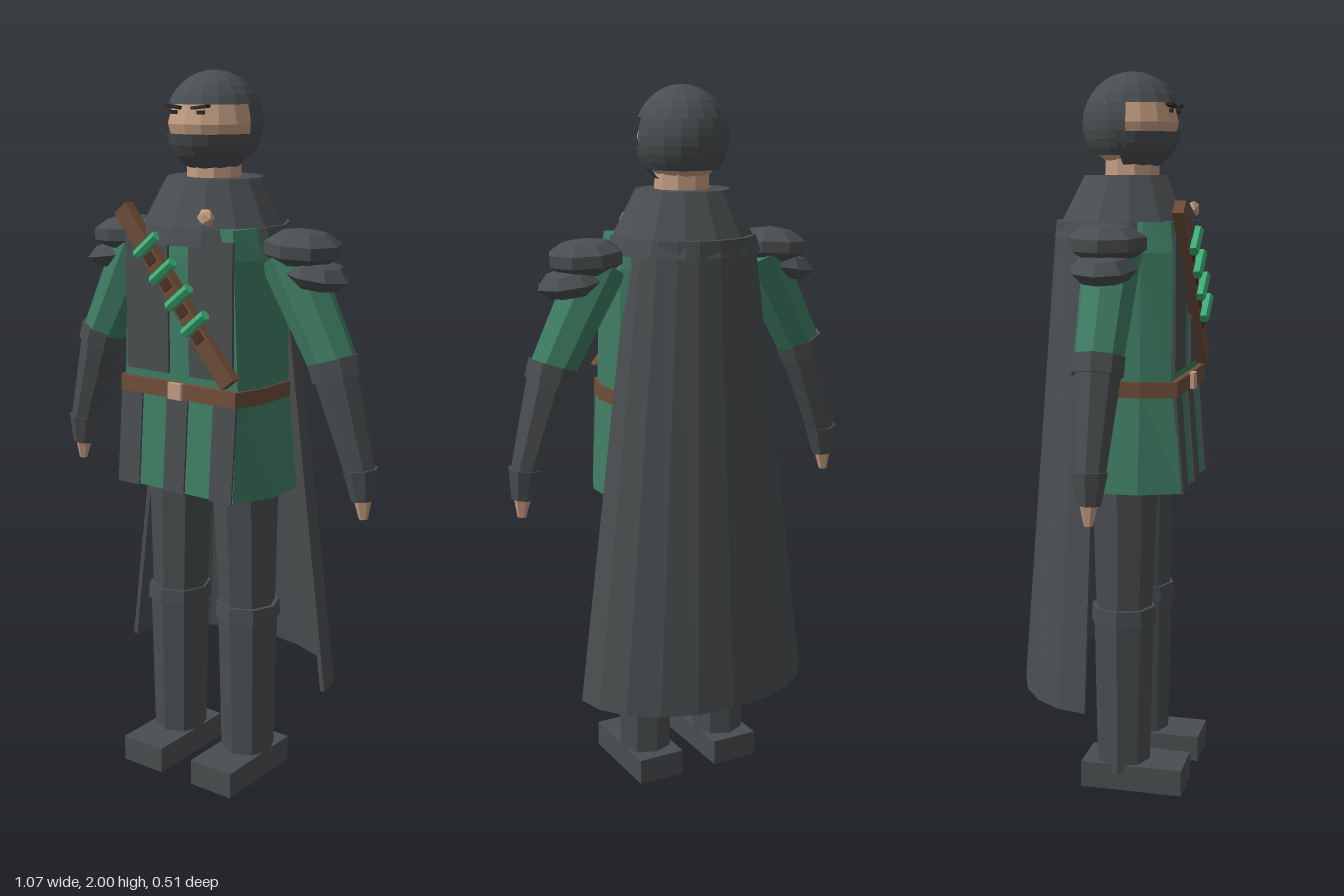
import * as THREE from 'three';

const mat = (name, color) => {
  const m = new THREE.MeshStandardMaterial({ color, flatShading: true, side: THREE.DoubleSide });
  m.name = name;
  return m;
};

export function createModel() {
  const root = new THREE.Group();
  root.name = 'cloakedRanger';
  const dark = mat('darkCloth', 0x4a4e50), green = mat('greenCloth', 0x3f7d64),
    brown = mat('leather', 0x6f4d38), loop = mat('darkLeather', 0x4a3328),
    skin = mat('skin', 0xc39c82), vial = mat('vialGreen', 0x3fb078),
    brow = mat('brow', 0x2b2a2a);
  const CZ = 0.053; // body axis

  const add = (name, geo, m, x = 0, y = 0, z = 0, parent = root) => {
    const mesh = new THREE.Mesh(geo, m);
    mesh.name = name;
    mesh.position.set(x, y, z);
    parent.add(mesh);
    return mesh;
  };
  const box = (name, m, w, h, d, x, y, z, parent) => add(name, new THREE.BoxGeometry(w, h, d), m, x, y, z, parent);

  // Tapered prism between two points
  const limb = (name, m, a, b, ra, rb, sides = 8) => {
    const p = new THREE.Vector3(...a), q = new THREE.Vector3(...b);
    const mesh = add(name, new THREE.CylinderGeometry(ra, rb, p.distanceTo(q), sides), m);
    mesh.position.copy(p).add(q).multiplyScalar(0.5);
    mesh.quaternion.setFromUnitVectors(new THREE.Vector3(0, 1, 0), p.clone().sub(q).normalize());
    return mesh;
  };

  // Solid lofted through rings of equal point count, listed top to bottom
  const loft = (rings) => {
    const pos = [], n = rings[0].length;
    const tri = (...p) => p.forEach((v) => pos.push(...v));
    for (let r = 0; r < rings.length - 1; r++) {
      for (let i = 0; i < n; i++) {
        const j = (i + 1) % n, a = rings[r], b = rings[r + 1];
        tri(a[i], b[i], b[j]);
        tri(a[i], b[j], a[j]);
      }
    }
    const top = rings[0], bot = rings[rings.length - 1];
    for (let i = 1; i < n - 1; i++) {
      tri(top[0], top[i], top[i + 1]);
      tri(bot[0], bot[i + 1], bot[i]);
    }
    const g = new THREE.BufferGeometry();
    g.setAttribute('position', new THREE.Float32BufferAttribute(pos, 3));
    g.computeVertexNormals();
    return g;
  };
  // Eight-sided body outline: flat front, wide flanks, narrower back
  const ring = (y, front, side, zf, zb) => [
    [-front, y, zf], [front, y, zf], [side, y, 0.12], [side, y, 0],
    [front * 0.7, y, zb], [-front * 0.7, y, zb], [-side, y, 0], [-side, y, 0.12]];

  // Legs, knee bands and boots
  for (const s of [1, -1]) {
    limb('thigh', dark, [s * 0.113, 0.95, CZ], [s * 0.122, 0.5, CZ], 0.096, 0.08);
    limb('shin', dark, [s * 0.124, 0.5, CZ], [s * 0.125, 0.05, CZ], 0.086, 0.077);
    limb('kneeBand', dark, [s * 0.124, 0.53, CZ], [s * 0.124, 0.485, CZ], 0.091, 0.094);
    box('boot', dark, 0.14, 0.075, 0.29, s * 0.125, 0.0375, 0.09);
  }

  // Tunic, skirt and their dark front panels
  add('tunic', loft([ring(1.6, 0.17, 0.19, 0.19, -0.07), ring(1.52, 0.18, 0.215, 0.2, -0.08),
    ring(1.15, 0.195, 0.22, 0.2, -0.08)]), green);
  add('skirt', loft([ring(1.16, 0.195, 0.22, 0.207, -0.08), ring(0.875, 0.2, 0.25, 0.23, -0.1)]), green);
  for (const s of [1, -1]) {
    box('tunicPanel', dark, 0.145, 0.37, 0.009, s * 0.108, 1.385, 0.203);
    box('skirtSidePanel', dark, 0.075, 0.265, 0.009, s * 0.16, 1.005, 0.221).rotation.x = -0.081;
  }
  box('skirtCentrePanel', dark, 0.072, 0.265, 0.009, 0, 1.005, 0.221).rotation.x = -0.081;

  // Belt and buckle
  add('belt', loft([ring(1.178, 0.197, 0.225, 0.216, -0.085), ring(1.135, 0.197, 0.225, 0.218, -0.085)]), brown);
  box('buckle', skin, 0.045, 0.045, 0.014, 0, 1.157, 0.221);

  // Shoulder mantle with an overlapping lower rim
  const mantle = [[0.07, 1.722], [0.128, 1.722], [0.19, 1.6], [0.198, 1.6], [0.212, 1.555], [0.15, 1.555]];
  const cowl = add('mantle', new THREE.LatheGeometry(mantle.map((p) => new THREE.Vector2(...p)).reverse(), 14), dark, 0, 0, 0.04);
  cowl.scale.x = 1.04;

  // Cape: half-elliptic sheet with thickness, flaring to the hem
  const arc = (y, rx, rz) => {
    const pts = [], N = 10;
    for (const [t, flip] of [[0, false], [0.014, true]]) {
      for (let i = 0; i <= N; i++) {
        const a = Math.PI * (flip ? N - i : i) / N;
        pts.push([Math.cos(a) * (rx - t), y, -Math.sin(a) * (rz - t)]);
      }
    }
    return pts;
  };
  const capeRings = [arc(1.6, 0.185, 0.165), arc(0.285, 0.355, 0.257)];
  const cape = [], nc = capeRings[0].length;
  for (let i = 0; i < nc; i++) {
    const j = (i + 1) % nc, [a, b] = capeRings;
    cape.push(...a[i], ...b[j], ...b[i], ...a[i], ...a[j], ...b[j]);
  }
  for (let i = 0; i < nc / 2 - 1; i++) { // hem and neck edges
    const o = nc - 1 - i, [a, b] = capeRings;
    cape.push(...b[i], ...b[i + 1], ...b[o - 1], ...b[i], ...b[o - 1], ...b[o]);
    cape.push(...a[i], ...a[o - 1], ...a[i + 1], ...a[i], ...a[o], ...a[o - 1]);
  }
  // reverse the winding so outer faces point outwards
  for (let k = 0; k < cape.length; k += 9) {
    for (let c = 0; c < 3; c++) [cape[k + 3 + c], cape[k + 6 + c]] = [cape[k + 6 + c], cape[k + 3 + c]];
  }
  const capeGeo = new THREE.BufferGeometry();
  capeGeo.setAttribute('position', new THREE.Float32BufferAttribute(cape, 3));
  capeGeo.computeVertexNormals();
  add('cape', capeGeo, dark);

  // Arms with layered shoulder pads
  for (const s of [1, -1]) {
    limb('upperArm', green, [s * 0.25, 1.53, CZ], [s * 0.397, 1.255, CZ], 0.08, 0.066);
    limb('forearm', dark, [s * 0.396, 1.268, CZ], [s * 0.487, 0.975, CZ], 0.067, 0.042);
    limb('cuff', dark, [s * 0.396, 1.268, CZ], [s * 0.411, 1.22, CZ], 0.071, 0.07);
    limb('glove', dark, [s * 0.487, 0.985, CZ], [s * 0.497, 0.9, CZ], 0.048, 0.032);
    limb('fingers', skin, [s * 0.496, 0.91, CZ], [s * 0.5, 0.848, CZ], 0.026, 0.012, 6);
    const upper = add('upperPad', new THREE.SphereGeometry(1, 8, 5), dark, s * 0.293, 1.55, 0.05);
    upper.scale.set(0.11, 0.052, 0.11);
    upper.rotation.z = -s * 0.06;
    const lower = add('lowerPad', new THREE.SphereGeometry(1, 8, 4), dark, s * 0.335, 1.485, 0.05);
    lower.scale.set(0.1, 0.042, 0.09);
    lower.rotation.z = -s * 0.15;
  }

  // Head: skin, hood crown, hood back and face mask
  const head = new THREE.Group();
  head.name = 'head';
  head.position.set(0, 1.862, 0.045);
  head.scale.x = 0.93;
  root.add(head);
  const shell = (name, m, r, p0, pl, t0, t1, seg) =>
    add(name, new THREE.SphereGeometry(r, seg, 6, p0, pl, t0, t1 - t0), m, 0, 0, 0, head);
  shell('face', skin, 0.13, 0, Math.PI * 2, 0, Math.PI, 16);
  shell('hoodCrown', dark, 0.138, 0, Math.PI * 2, 0, 1.19, 16);
  shell('hoodBack', dark, 0.138, Math.PI - 0.08, Math.PI + 0.16, 1.19, 2.25, 9);
  shell('mask', dark, 0.138, -0.1, Math.PI + 0.2, 1.75, Math.PI, 9);
  add('neck', new THREE.CylinderGeometry(0.075, 0.08, 0.14, 10), skin, 0, 1.72, 0.045);
  for (const s of [1, -1]) {
    box('brow', brow, 0.05, 0.008, 0.02, s * 0.045, 1.907, 0.163).rotation.z = s * 0.12;
    box('eye', brow, 0.022, 0.01, 0.008, s * 0.045, 1.893, 0.163);
  }

  // Bandolier with loops and vials
  const strap = new THREE.Group();
  strap.name = 'bandolier';
  strap.position.set(0, 1.42, 0.215);
  strap.rotation.z = -0.885;
  root.add(strap);
  box('strap', brown, 0.57, 0.05, 0.03, 0, 0, 0, strap);
  for (let i = 0; i < 4; i++) {
    const x = -0.148 + i * 0.084;
    add('vial', new THREE.CylinderGeometry(0.015, 0.015, 0.09, 6), vial, x, 0.022, 0.026, strap);
    box('vialLoop', loop, 0.03, 0.03, 0.02, x + 0.03, 0, 0.01, strap);
  }

  // Brooch on the mantle
  add('brooch', new THREE.IcosahedronGeometry(0.026, 0), skin, 0.09, 1.628, 0.2).scale.z = 0.7;
  return root;
}
